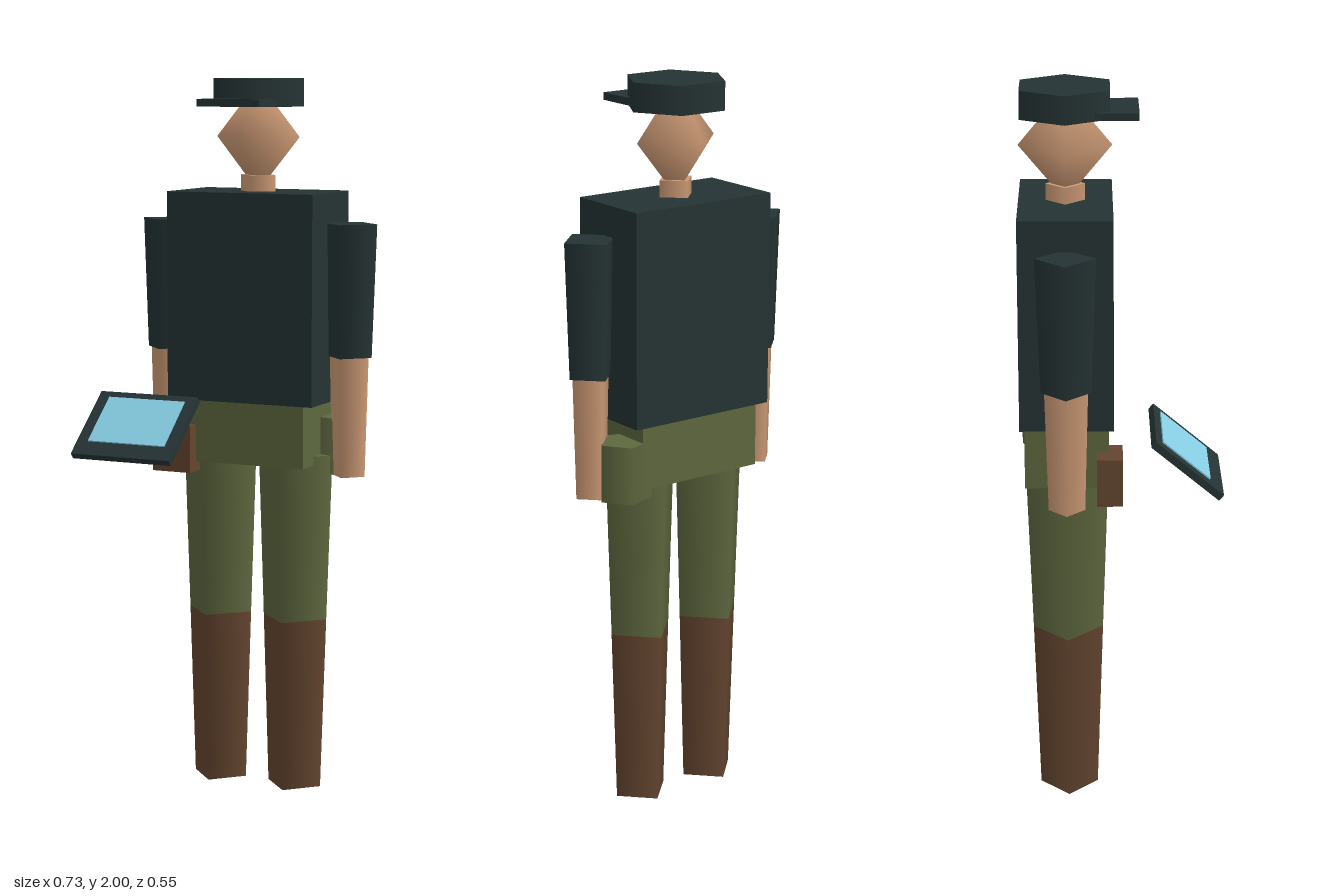
import * as THREE from 'three';

const CX = 0.005, CZ = -0.143; // body axis

export function createModel() {
  const model = new THREE.Group();
  model.name = 'figure';

  const mat = (name, color) => {
    const m = new THREE.MeshStandardMaterial({ color });
    m.name = name;
    return m;
  };
  const shirt = mat('dark shirt', 0x253334);
  const green = mat('olive trousers', 0x5e683f);
  const brown = mat('brown leather', 0x64452f);
  const skin = mat('skin', 0xcd9a75);
  const glass = mat('screen blue', 0x86cce2);

  const add = (name, geometry, material, x, y, z, parent = model) => {
    const mesh = new THREE.Mesh(geometry, material);
    mesh.name = name;
    mesh.position.set(x, y, z);
    parent.add(mesh);
    return mesh;
  };
  const box = (name, material, w, h, d, x, y, z, parent) =>
    add(name, new THREE.BoxGeometry(w, h, d), material, x, y, z, parent);
  // Tapered upright prism between two heights, a diamond in plan by default
  const limb = (name, material, rTop, rBottom, yTop, yBottom, x, sides = 4, z = CZ) =>
    add(name, new THREE.CylinderGeometry(rTop, rBottom, yTop - yBottom, sides),
      material, x, (yTop + yBottom) / 2, z);

  // Torso and hips
  box('torso', shirt, 0.44, 0.58, 0.253, CX, 1.4, CZ);
  box('hips', green, 0.38, 0.18, 0.228, CX, 1.025, CZ);

  // Arms and legs, mirrored about the body axis
  for (const [side, s] of [['left', 1], ['right', -1]]) {
    const armX = CX + s * 0.278, legX = CX + s * 0.117;
    limb(side + 'Sleeve', shirt, 0.08, 0.067, 1.607, 1.24, armX);
    limb(side + 'Forearm', skin, 0.058, 0.049, 1.24, 0.907, armX);
    limb(side + 'TrouserLeg', green, 0.113, 0.097, 0.96, 0.49, legX);
    limb(side + 'Boot', brown, 0.097, 0.081, 0.49, 0, legX);
  }

  // Neck and faceted head
  limb('neck', skin, 0.053, 0.053, 1.735, 1.68, CX);
  add('head', new THREE.SphereGeometry(0.126, 4, 2).scale(1, 1.2, 1), skin, CX, 1.84, CZ);

  // Cap with visor
  limb('cap', shirt, 0.138, 0.138, 2, 1.923, CX, 6).rotation.y = Math.PI / 6;
  box('capVisor', shirt, 0.186, 0.02, 0.173, CX, 1.935, -0.0335);

  // Belt items: five-sided canteen on the left, pouch on the right
  limb('canteen', green, 0.073, 0.073, 1.065, 0.907, 0.22, 5, -0.204).rotation.y = Math.PI / 2;
  box('pouch', brown, 0.117, 0.133, 0.07, -0.192, 0.973, -0.027);

  // Tilted tablet held ahead of the right hand
  const tablet = new THREE.Group();
  tablet.name = 'tablet';
  tablet.position.set(-0.217, 1.0525, 0.176);
  tablet.rotation.x = THREE.MathUtils.degToRad(40);
  box('tabletCase', shirt, 0.3, 0.02, 0.234, 0, 0, 0, tablet);
  box('tabletScreen', glass, 0.234, 0.006, 0.164, 0.002, 0.011, -0.0125, tablet);
  model.add(tablet);

  return model;
}
